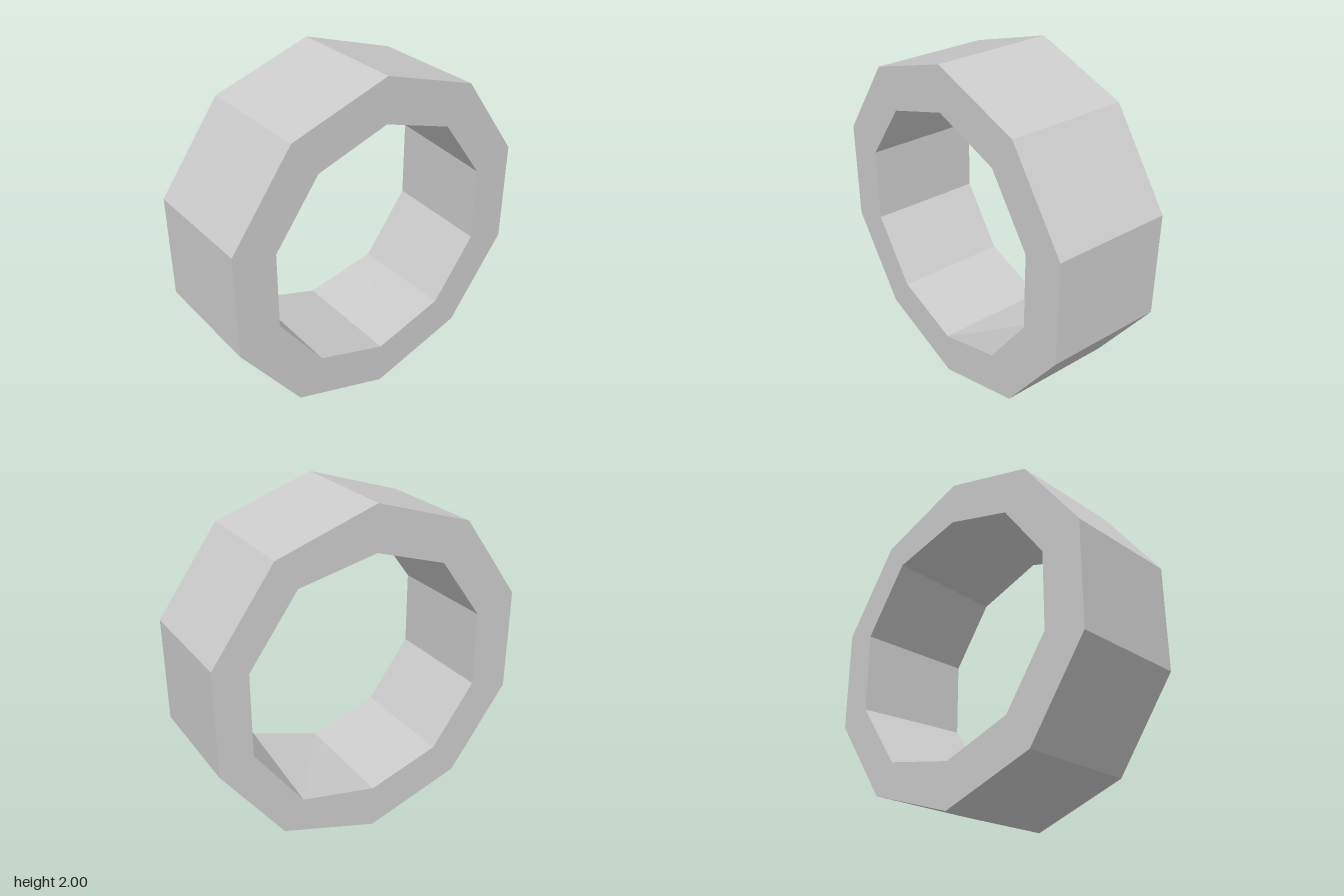
import * as THREE from 'three';

const SIDES = 10;
const HALF_WIDTH = 0.35;

// One ten-sided loop in the plane x, a corner at the top; radius may vary per corner
function loop(x, radius) {
  return Array.from({ length: SIDES }, (_, k) => {
    const a = (k / SIDES) * Math.PI * 2;
    const r = radius(k);
    return [x, 1 + r * Math.cos(a), r * Math.sin(a)];
  });
}

// Joins the loops, last back to first, into a closed band of flat quads
function bandGeometry(loops) {
  const positions = [];
  loops.forEach((from, i) => {
    const to = loops[(i + 1) % loops.length];
    for (let k = 0; k < SIDES; k++) {
      const n = (k + 1) % SIDES;
      positions.push(...from[k], ...from[n], ...to[n]);
      positions.push(...from[k], ...to[n], ...to[k]);
    }
  });
  const geometry = new THREE.BufferGeometry();
  geometry.setAttribute('position', new THREE.Float32BufferAttribute(positions, 3));
  geometry.computeVertexNormals();
  return geometry;
}

export function createModel() {
  const model = new THREE.Group();
  model.name = 'decagonalRing';

  const outer = () => 1;
  const bore = () => 0.737;
  // The bore flares slightly towards the back on the ring's -x side
  const flaredBore = (k) => (k > SIDES / 2 ? 0.79 : 0.737);

  const ring = new THREE.Mesh(
    bandGeometry([
      loop(-HALF_WIDTH, outer),
      loop(HALF_WIDTH, outer),
      loop(HALF_WIDTH, bore),
      loop(-HALF_WIDTH, flaredBore),
    ]),
    new THREE.MeshStandardMaterial({ color: 0xcccccc, flatShading: true })
  );
  ring.name = 'ringBand';
  model.add(ring);
  return model;
}
